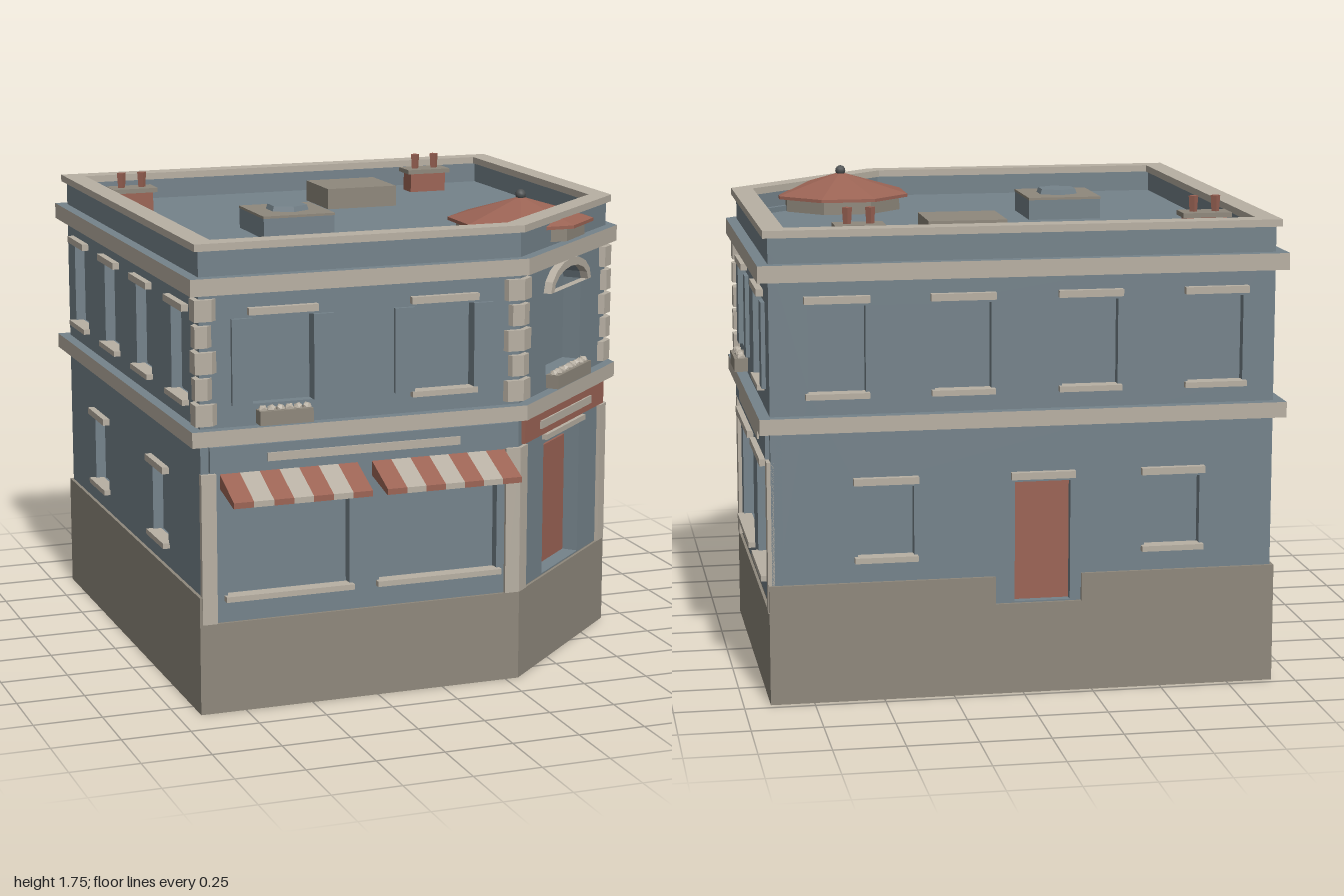
import * as THREE from 'three';

const mat = (name, color) => Object.assign(new THREE.MeshStandardMaterial({ color }), { name });

export function createModel() {
  const blue = mat('slate blue', 0x75838b), cream = mat('cream trim', 0xb8b0a3);
  const taupe = mat('taupe stone', 0x8f887c), red = mat('brick red', 0x9c6455);
  const dark = mat('dark metal', 0x505354);
  const model = new THREE.Group();
  model.name = 'cornerShop';

  const add = (parent, name, geo, m, x = 0, y = 0, z = 0) => {
    const mesh = new THREE.Mesh(geo, m);
    mesh.name = name;
    mesh.position.set(x, y, z);
    parent.add(mesh);
    return mesh;
  };
  // Box given by its left/right, bottom/top and back/front limits
  const block = (parent, name, m, x0, x1, y0, y1, z0, z1) => add(parent, name,
    new THREE.BoxGeometry(x1 - x0, y1 - y0, z1 - z0), m, (x0 + x1) / 2, (y0 + y1) / 2, (z0 + z1) / 2);

  // Five-sided footprint with the cut corner, grown by an offset
  const foot = o => [[-0.905 - o, 0.84 + o], [0.295 + o * 0.41, 0.84 + o], [0.893 + o, 0.275 + o * 0.41],
    [0.893 + o, -0.96 - o], [-0.905 - o, -0.96 - o]].map(([x, z]) => new THREE.Vector2(x, -z));
  const layer = (name, m, outer, inner, y0, y1) => {
    const shape = new THREE.Shape(foot(outer));
    if (inner !== null) shape.holes.push(new THREE.Path(foot(inner)));
    const geo = new THREE.ExtrudeGeometry(shape, { depth: y1 - y0, bevelEnabled: false });
    return add(model, name, geo.rotateX(-Math.PI / 2), m, 0, y0, 0);
  };
  layer('plinth', taupe, 0.012, 0.002, 0, 0.33);
  layer('groundFloor', taupe, 0, null, 0.32, 0.33);
  layer('middleLedge', [blue, cream], 0.04, -0.02, 0.977, 1.033);
  layer('cornice', [blue, cream], 0.04, -0.02, 1.507, 1.567);
  layer('roofDeck', blue, -0.02, null, 1.56, 1.58);
  layer('parapet', blue, 0, -0.05, 1.567, 1.66);
  layer('parapetCap', cream, 0.018, -0.062, 1.658, 1.684);

  // Rectangular or arched opening: [left, right, bottom, top, arch rise]
  const outline = (C, [l, r, b, t, rise = 0], grow = 0) => {
    const p = new C();
    p.moveTo(l - grow, b);
    p.lineTo(r + grow, b);
    p.lineTo(r + grow, t - rise);
    if (rise) p.absellipse((l + r) / 2, t - rise, (r - l) / 2 + grow, rise + grow, 0, Math.PI, false, 0);
    else p.lineTo(l - grow, t);
    p.closePath();
    return p;
  };
  // A wall with openings and panes set back in them; local z points outwards
  const facade = (name, x, z, turn, u0, u1, holes, depth = 0.04) => {
    const g = new THREE.Group();
    g.name = name;
    g.position.set(x, 0, z);
    g.rotation.y = turn;
    model.add(g);
    const wall = outline(THREE.Shape, [u0, u1, 0.33, 1.6]);
    wall.holes = holes.map(h => outline(THREE.Path, h));
    add(g, 'wall', new THREE.ExtrudeGeometry(wall, { depth, bevelEnabled: false, curveSegments: 4 }), blue, 0, 0, -depth);
    for (const [l, r, b, t] of holes) {
      block(g, 'pane', blue, l - 0.01, r + 0.01, b - 0.005, t + 0.01, -depth - 0.01, -depth + 0.001);
    }
    return g;
  };
  const win = (c, w = 0.21, b = 1.11, t = 1.415) => [c - w / 2, c + w / 2, b, t];
  const trim = (g, [l, r, b, t], sill = true) => {
    block(g, 'windowHeader', cream, l - 0.015, r + 0.015, t + 0.012, t + 0.037, -0.01, 0.025);
    if (sill) block(g, 'windowSill', cream, l - 0.012, r + 0.012, b - 0.018, b + 0.002, -0.03, 0.025);
  };
  const shutters = (g, [l, r, b, t]) => {
    block(g, 'shutter', blue, l - 0.075, l, b, t, -0.005, 0.015);
    block(g, 'shutter', blue, r, r + 0.075, b, t, -0.005, 0.015);
  };
  const planter = (g, c, w) => {
    block(g, 'planter', taupe, c - w / 2, c + w / 2, 1.04, 1.09, 0, 0.05);
    const n = Math.round(w / 0.035);
    for (let i = 0; i < n; i++) {
      const f = add(g, 'flower', new THREE.IcosahedronGeometry(0.018, 0), cream, c - w / 2 + (i + 0.5) * w / n, 1.092, 0.025);
      f.rotation.y = i;
    }
  };
  const signBand = (g, l, r, sl, sr, m) => {
    block(g, 'signPanel', m, l, r, 0.878, 0.968, -0.005, 0.015);
    block(g, 'signStrip', cream, sl, sr, 0.905, 0.935, 0.01, 0.022);
  };
  const pilaster = (g, l, r) => block(g, 'pilaster', cream, l, r, 0.33, 0.872, -0.01, 0.014);

  // Front shop side
  const fu = [win(-0.603, 0.225), win(0.0, 0.225)];
  const fs = [win(-0.583, 0.455, 0.425, 0.815), win(-0.015, 0.455, 0.425, 0.815)];
  const front = facade('frontFacade', 0, 0.84, 0, -0.905, 0.295, [...fu, ...fs]);
  fs.forEach(w => trim(front, w));
  fu.forEach((w, i) => { trim(front, w, i === 1); shutters(front, w); });
  planter(front, -0.603, 0.195);
  signBand(front, -0.875, 0.262, -0.665, 0.06, blue);
  pilaster(front, -0.907, -0.852);
  pilaster(front, 0.243, 0.298);

  // Striped awnings
  const profile = new THREE.Shape([[0, 0.868], [0, 0.815], [0.15, 0.782], [0.16, 0.782], [0.16, 0.803]]
    .map(([a, b]) => new THREE.Vector2(-a, b)));
  for (const start of [-0.835, -0.27]) {
    const awning = new THREE.Group();
    awning.name = 'awning';
    front.add(awning);
    const w = 0.51 / 7;
    for (let i = 0; i < 7; i++) {
      const geo = new THREE.ExtrudeGeometry(profile, { depth: w, bevelEnabled: false }).rotateY(Math.PI / 2);
      add(awning, 'awningStripe', geo, i % 2 ? cream : red, start + i * w, 0, 0);
    }
  }

  // Right shop side (local x runs towards the back)
  const ru = [win(0.03, 0.225), win(0.648, 0.225)];
  const rs = [win(0.075, 0.455, 0.425, 0.815), win(0.615, 0.355, 0.425, 0.815)];
  const right = facade('rightFacade', 0.893, 0, Math.PI / 2, -0.275, 0.96, [...ru, ...rs]);
  rs.forEach(w => trim(right, w));
  ru.forEach((w, i) => { trim(right, w, i === 1); shutters(right, w); });
  planter(right, 0.03, 0.195);
  signBand(right, -0.25, 0.93, -0.035, 0.71, blue);
  pilaster(right, -0.278, -0.222);
  pilaster(right, 0.905, 0.96);

  // Cut corner with the shop entrance and arched window
  const turn = Math.atan2(0.565, 0.598), half = 0.411;
  const arch = [-0.165, 0.165, 1.09, 1.475, 0.075];
  const corner = facade('cornerFacade', 0.594, 0.5575, turn, -half, half, [arch, [-0.175, 0.175, 0.335, 0.852]], 0.07);
  block(corner, 'entranceDoor', red, -0.175, 0.175, 0.33, 0.79, -0.07, -0.06);
  block(corner, 'entranceHeader', cream, -0.19, 0.19, 0.852, 0.872, -0.01, 0.02);
  signBand(corner, -0.385, 0.385, -0.245, 0.245, red);
  pilaster(corner, -half - 0.005, -half + 0.055);
  pilaster(corner, half - 0.055, half + 0.005);
  planter(corner, 0, 0.32);
  const band = outline(THREE.Shape, [-0.165, 0.165, 1.4, 1.475, 0.075], 0.03);
  band.holes.push(outline(THREE.Path, [-0.165, 0.165, 1.4001, 1.475, 0.075]));
  add(corner, 'archTrim', new THREE.ExtrudeGeometry(band, { depth: 0.03, bevelEnabled: false, curveSegments: 4 }), cream);

  // Plain back and left sides
  const bu = [-0.657, -0.215, 0.237, 0.69].map(c => win(c, 0.2)), bg = [-0.49, 0.54].map(c => win(c, 0.2, 0.52, 0.77));
  const door = win(0.07, 0.2, 0.335, 0.77);
  const back = facade('backFacade', 0, -0.96, Math.PI, -0.893, 0.905, [...bu, ...bg, door]);
  [...bu, ...bg].forEach(w => trim(back, w));
  trim(back, door, false);
  block(back, 'backDoor', red, -0.03, 0.17, 0.33, 0.77, -0.04, -0.03);
  block(back, 'plinthTop', taupe, -0.905, -0.1, 0.33, 0.43, -0.01, 0.012);
  block(back, 'plinthTop', taupe, 0.21, 0.917, 0.33, 0.43, -0.01, 0.012);
  const lu = [-0.755, -0.3, 0.145, 0.6].map(c => win(c, 0.2)), lg = [-0.49, 0.33].map(c => win(c, 0.2, 0.52, 0.77));
  const left = facade('leftFacade', -0.905, 0, -Math.PI / 2, -0.96, 0.84, [...lu, ...lg]);
  [...lu, ...lg].forEach(w => trim(left, w));
  block(left, 'plinthTop', taupe, -0.972, 0.852, 0.33, 0.43, -0.01, 0.012);

  // Corner stones, alternately long and short, on the three street corners
  const quoinShape = (s, a) => {
    // Flat wrap around a corner whose two faces run off at the given angles
    const [p, q] = a.map(t => new THREE.Vector2(Math.cos(t), Math.sin(t)));
    const out = p.clone().add(q).normalize().multiplyScalar(-1);
    const tip = out.clone().multiplyScalar(0.022 / Math.sin(a[2] / 2));
    const inn = out.clone().multiplyScalar(-0.01);
    return new THREE.Shape([tip, p.clone().multiplyScalar(s).add(tip), p.clone().multiplyScalar(s).add(inn),
      inn, q.clone().multiplyScalar(s).add(inn), q.clone().multiplyScalar(s).add(tip)]);
  };
  const P = Math.PI, cut = Math.atan2(0.565, 0.598);
  const corners = [[-0.905, 0.84, 0, P / 2, P / 2], [0.295, 0.84, P, cut, P - cut],
    [0.893, 0.275, P + cut, P / 2, P / 2 + cut]];
  for (const [x, z, a, b, inside] of corners) {
    for (let i = 0; i < 5; i++) {
      const geo = new THREE.ExtrudeGeometry(quoinShape(i % 2 ? 0.045 : 0.062, [a, b, inside]), { depth: 0.076, bevelEnabled: false });
      add(model, 'quoin', geo.rotateX(-P / 2), cream, x, 1.046 + i * 0.092, z);
    }
  }

  // Eight-sided corner turret
  const oct = (r0, r1, h) => new THREE.CylinderGeometry(r0 / Math.cos(P / 8), r1 / Math.cos(P / 8), h, 8).rotateY(P / 8).toNonIndexed();
  const facet = geo => { geo.computeVertexNormals(); return geo; };
  add(model, 'turretDrum', facet(oct(0.22, 0.22, 0.055)), taupe, 0.47, 1.6075, 0.43);
  add(model, 'turretEave', facet(oct(0.25, 0.25, 0.012)), red, 0.47, 1.636, 0.43);
  add(model, 'turretRoof', facet(oct(0.002, 0.25, 0.078)), red, 0.47, 1.681, 0.43);
  add(model, 'finial', new THREE.SphereGeometry(0.02, 10, 8), dark, 0.47, 1.727, 0.43);

  // Rooftop fittings
  block(model, 'skylightCurb', blue, -0.465, -0.19, 1.575, 1.655, -0.065, 0.225);
  block(model, 'skylightTop', taupe, -0.467, -0.188, 1.655, 1.664, -0.067, 0.227);
  add(model, 'skylightDome', facet(new THREE.CylinderGeometry(0.075, 0.082, 0.02, 6).toNonIndexed()), blue, -0.325, 1.673, 0.08);
  block(model, 'roofHatch', taupe, 0, 0.285, 1.575, 1.66, -0.64, -0.38);
  for (const [x, z] of [[-0.73, -0.62], [0.55, -0.745]]) {
    block(model, 'chimneyStack', red, x - 0.075, x + 0.075, 1.575, 1.655, z - 0.04, z + 0.04);
    block(model, 'chimneyCap', taupe, x - 0.09, x + 0.09, 1.655, 1.672, z - 0.053, z + 0.053);
    for (const s of [-0.041, 0.041]) {
      add(model, 'chimneyPot', facet(new THREE.CylinderGeometry(0.018, 0.014, 0.06, 4).toNonIndexed()), red, x + s, 1.7, z);
    }
  }
  return model;
}
